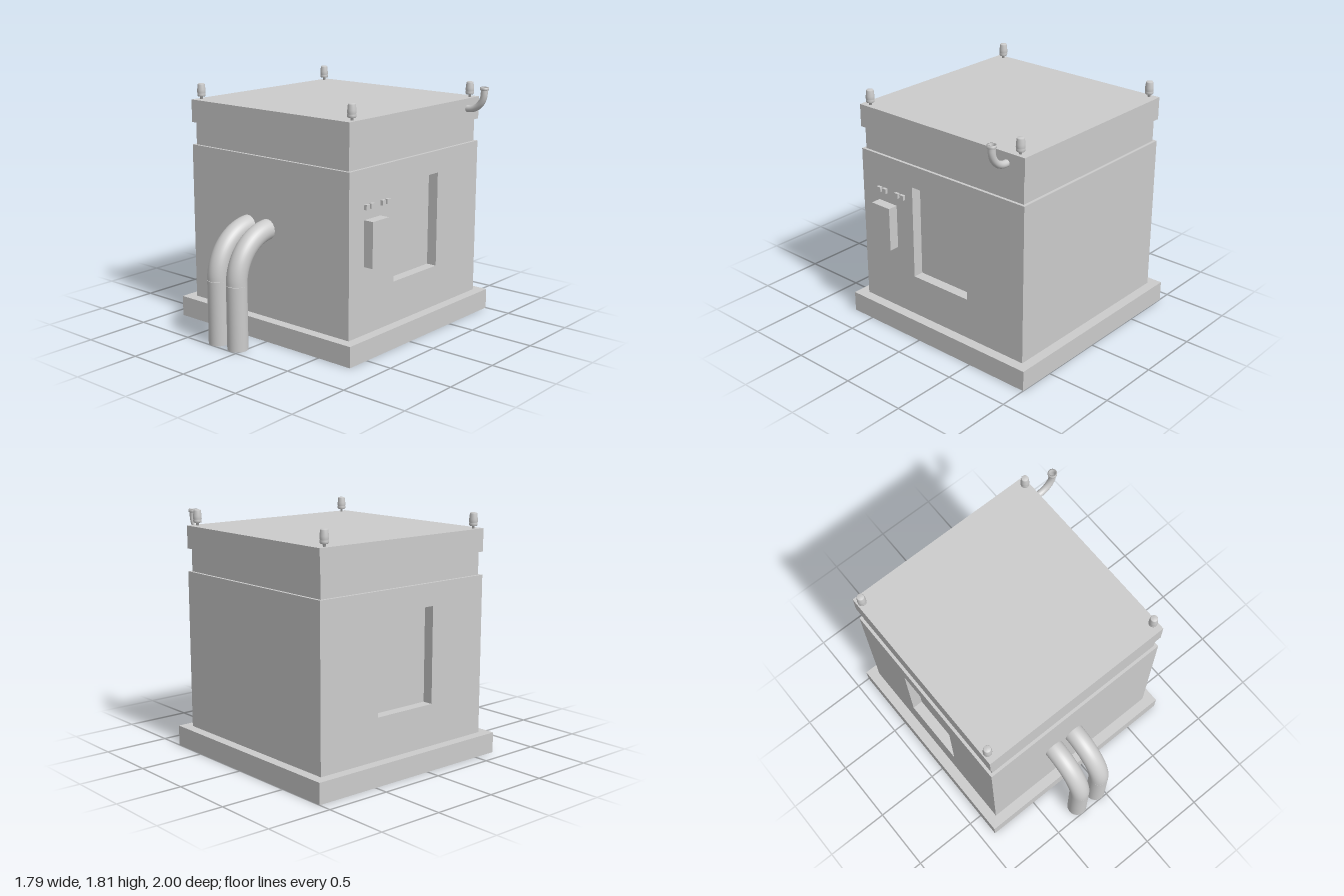
import * as THREE from 'three';

const material = new THREE.MeshStandardMaterial({ color: 0xcccccc });
const openMaterial = new THREE.MeshStandardMaterial({ color: 0xcccccc, side: THREE.DoubleSide });

// Outer limits of the main body
const X0 = -0.818, X1 = 0.713, Z0 = -0.925, Z1 = 0.607;
const BASE_TOP = 0.155, BODY_TOP = 1.35, NECK_TOP = 1.52, LID_TOP = 1.69;
const RECESS = 0.08;

export function createModel() {
  const model = new THREE.Group();

  function add(name, geometry, mat = material, parent = model) {
    const mesh = new THREE.Mesh(geometry, mat);
    mesh.name = name;
    parent.add(mesh);
    return mesh;
  }

  // Box given by its limits on each axis
  function block(name, x0, x1, y0, y1, z0, z1) {
    const mesh = add(name, new THREE.BoxGeometry(x1 - x0, y1 - y0, z1 - z0));
    mesh.position.set((x0 + x1) / 2, (y0 + y1) / 2, (z0 + z1) / 2);
    return mesh;
  }

  // Stacked housing
  block('basePlinth', -0.895, 0.79, 0, BASE_TOP, -1, 0.685);
  block('bodyCore', X0 + RECESS, X1 - RECESS, BASE_TOP, BODY_TOP, Z0, Z1);
  block('neck', X0 + 0.022, X1 - 0.022, BODY_TOP, NECK_TOP, Z0 + 0.022, Z1 - 0.022);
  block('lid', X0, X1, NECK_TOP, LID_TOP, Z0, Z1);

  // Side walls, each with a rectangular window recess (shape x runs along -z)
  const wall = new THREE.Shape([
    new THREE.Vector2(-Z1, BASE_TOP), new THREE.Vector2(-Z0, BASE_TOP),
    new THREE.Vector2(-Z0, BODY_TOP), new THREE.Vector2(-Z1, BODY_TOP),
  ]);
  wall.holes.push(new THREE.Path([
    new THREE.Vector2(-0.105, 0.468), new THREE.Vector2(-0.105, 1.183),
    new THREE.Vector2(0.412, 1.183), new THREE.Vector2(0.412, 0.468),
  ]));
  const wallGeometry = new THREE.ExtrudeGeometry(wall, { depth: RECESS, bevelEnabled: false });
  wallGeometry.rotateY(Math.PI / 2);
  add('leftWall', wallGeometry).position.x = X1 - RECESS;
  add('rightWall', wallGeometry).position.x = X0;

  // Control box and the row of small buttons above it
  block('controlBox', X1, 0.79, 0.655, 0.99, 0.268, 0.445);
  for (const z of [0.428, 0.374, 0.25, 0.196]) {
    block('button', X1, 0.735, 1.063, 1.1, z - 0.018, z + 0.018);
  }

  // Pair of thick pipes rising from the ground and bending into the front
  const bendZ = 0.58, bendY = 0.48, bendR = 0.345, pipeR = 0.076;
  const pipePoints = [];
  for (let i = 0; i <= 20; i++) {
    const a = (i / 20) * Math.PI / 2;
    pipePoints.push(new THREE.Vector3(0, bendY + bendR * Math.sin(a), bendZ + bendR * Math.cos(a)));
  }
  const pipePath = new THREE.CatmullRomCurve3(pipePoints);
  for (const x of [-0.246, -0.054]) {
    const pipe = new THREE.Group();
    pipe.name = 'frontPipe';
    pipe.position.x = x;
    add('pipeBend', new THREE.TubeGeometry(pipePath, 32, pipeR, 32), material, pipe);
    const leg = add('pipeLeg', new THREE.CylinderGeometry(pipeR, pipeR, bendY, 32), material, pipe);
    leg.position.set(0, bendY / 2, bendZ + bendR);
    model.add(pipe);
  }

  // Small open vent pipe, bending upward from the lid
  const vent = new THREE.Group();
  vent.name = 'ventPipe';
  vent.position.z = -0.772;
  const ventPath = new THREE.CurvePath();
  const v = (x, y) => new THREE.Vector3(x, y, 0);
  const k = 0.13 * 0.5523;
  ventPath.add(new THREE.LineCurve3(v(0.70, 1.615), v(0.73, 1.615)));
  ventPath.add(new THREE.CubicBezierCurve3(
    v(0.73, 1.615), v(0.73 + k, 1.615), v(0.86, 1.745 - k), v(0.86, 1.745)));
  ventPath.add(new THREE.LineCurve3(v(0.86, 1.745), v(0.86, 1.77)));
  add('ventTube', new THREE.TubeGeometry(ventPath, 40, 0.026, 20), openMaterial, vent);
  const rim = [[0.026, 1.765], [0.034, 1.768], [0.034, 1.788], [0.022, 1.788], [0.022, 1.75]];
  const ventRim = add('ventRim', new THREE.LatheGeometry(
    rim.map(([r, y]) => new THREE.Vector2(r, y)), 24), openMaterial, vent);
  ventRim.position.x = 0.86;
  model.add(vent);

  // Corner lamps: thin stem, collar and slightly tapered cap
  const lampProfile = [
    [0, 0], [0.01, 0], [0.01, 0.02], [0.026, 0.02], [0.031, 0.025], [0.031, 0.041], [0.028, 0.045],
    [0.032, 0.048], [0.031, 0.07], [0.027, 0.108], [0.024, 0.115], [0, 0.116],
  ].map(([r, y]) => new THREE.Vector2(r, y));
  const lampGeometry = new THREE.LatheGeometry(lampProfile, 24);
  for (const x of [-0.782, 0.675]) {
    for (const z of [-0.857, 0.538]) {
      add('cornerLamp', lampGeometry).position.set(x, LID_TOP, z);
    }
  }

  return model;
}
